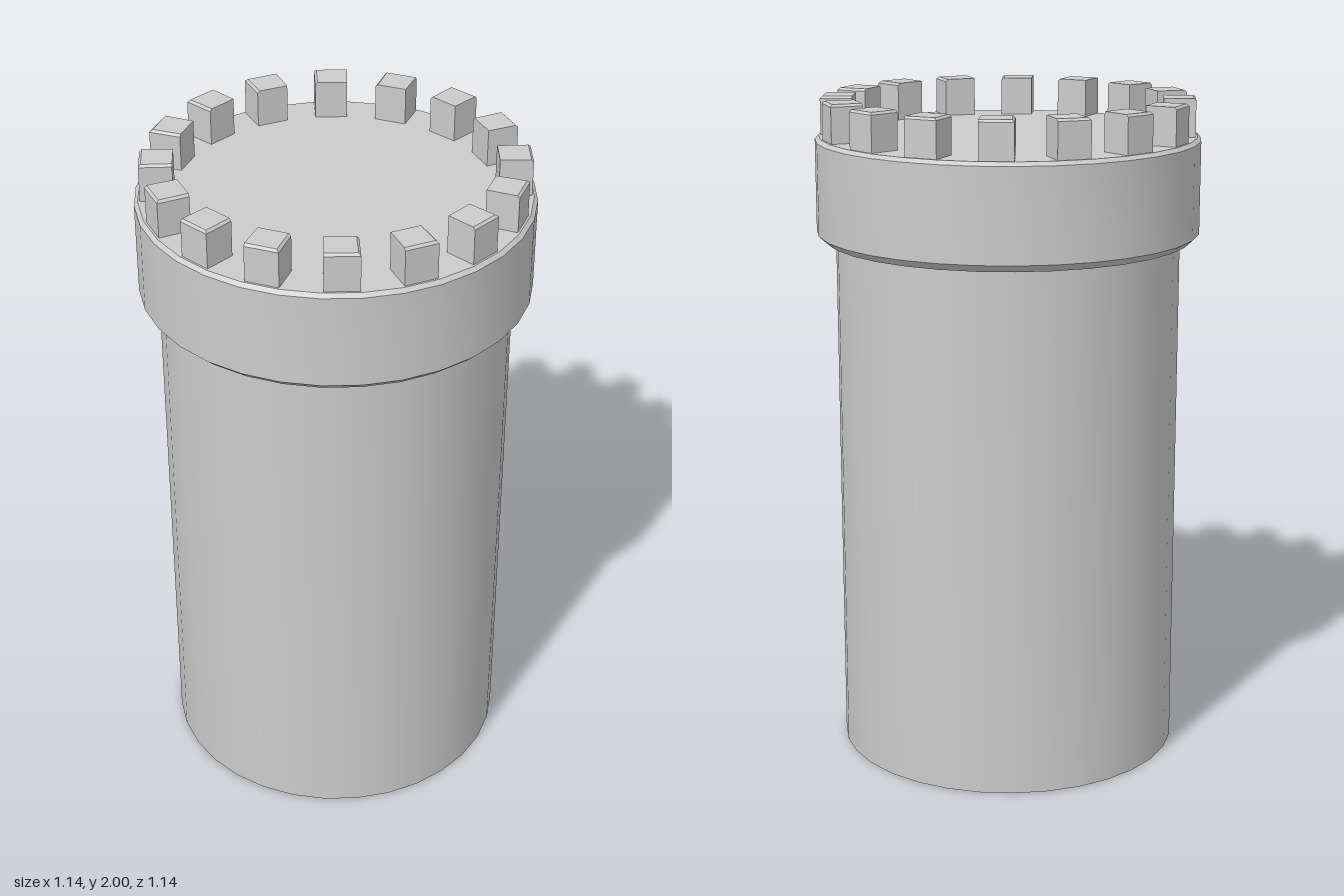
import * as THREE from 'three';
import { toCreasedNormals } from 'three/addons/utils/BufferGeometryUtils.js';

const SIDES = 32;
const MERLONS = 16;

// Lathe from [radius, height] pairs with crisp edges between the bands
function turned(name, profile, material) {
  const points = profile.map(([r, y]) => new THREE.Vector2(r, y));
  const geometry = toCreasedNormals(new THREE.LatheGeometry(points, SIDES), Math.PI / 7);
  const mesh = new THREE.Mesh(geometry, material);
  mesh.name = name;
  return mesh;
}

// Slightly wedge-shaped block with a small bevel on two top edges
function merlonGeometry() {
  const w = 0.099, h = 0.125, d = 0.095, bevel = 0.007;
  const geometry = new THREE.BoxGeometry(w, h, d, 1, 2, 1);
  const p = geometry.attributes.position;
  for (let i = 0; i < p.count; i++) {
    let x = p.getX(i), y = p.getY(i), z = p.getZ(i);
    if (z < 0) x *= 0.96;
    if (Math.abs(y) < 0.001) {
      y = h / 2 - bevel;
    } else if (y > 0) {
      if (x > 0) x -= bevel;
      if (z > 0) z -= bevel;
    }
    p.setXYZ(i, x, y, z);
  }
  geometry.translate(0, 2 - h / 2, 0.505);
  const flat = geometry.toNonIndexed();
  flat.computeVertexNormals();
  return flat;
}

export function createModel() {
  const model = new THREE.Group();
  model.name = 'tower';
  const stone = new THREE.MeshStandardMaterial({ color: 0xcccccc });
  const shell = new THREE.MeshStandardMaterial({ color: 0xcccccc, side: THREE.DoubleSide });
  const block = new THREE.MeshStandardMaterial({ color: 0xcccccc, flatShading: true });

  // Tower shaft, open at the bottom
  model.add(turned('shaft', [[0.515, 0], [0.515, 1.59]], shell));

  // Overhanging parapet drum with bevelled rims
  model.add(turned('parapet', [
    [0, 1.58], [0.548, 1.58], [0.572, 1.602], [0.572, 1.876], [0.561, 1.887], [0, 1.887],
  ], stone));

  // Ring of merlons around the rim
  const merlons = new THREE.Group();
  merlons.name = 'merlons';
  const geometry = merlonGeometry();
  for (let i = 0; i < MERLONS; i++) {
    const merlon = new THREE.Mesh(geometry, block);
    merlon.name = 'merlon';
    merlon.rotation.y = 0.1 + (i / MERLONS) * Math.PI * 2;
    merlons.add(merlon);
  }
  model.add(merlons);

  return model;
}
